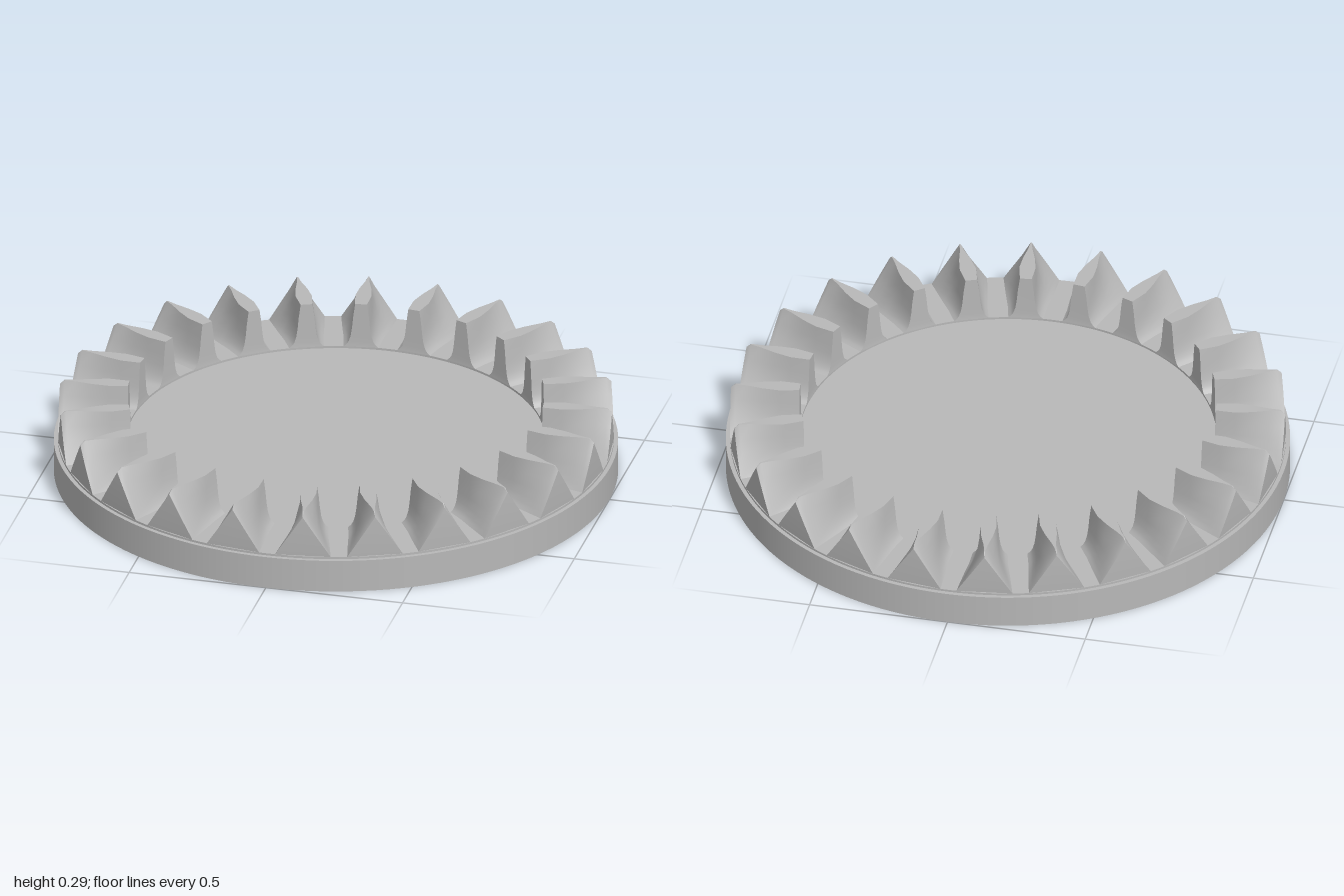
import * as THREE from 'three';
import { mergeGeometries } from 'three/addons/utils/BufferGeometryUtils.js';

const TEETH = 24;
const ROOT = 0.128;
// Height fractions shared by all tooth cross-sections
const LEVELS = [0, 0.05, 0.12, 0.25, 0.45, 0.7, 1];
// Cross-sections from hub to rim: radius, top height, half-width at each level
const SECTIONS = [
  { r: 0.74, top: 0.295, w: [0.062, 0.052, 0.044, 0.037, 0.032, 0.028, 0.021] },
  { r: 0.81, top: 0.295, w: [0.07, 0.061, 0.053, 0.043, 0.036, 0.032, 0.029] },
  { r: 0.87, top: 0.295, w: [0.081, 0.073, 0.065, 0.054, 0.043, 0.033, 0.021] },
  { r: 0.93, top: 0.295, w: [0.091, 0.085, 0.078, 0.066, 0.048, 0.028, 0.007] },
  { r: 0.968, top: 0.295, w: [0.097, 0.092, 0.085, 0.072, 0.053, 0.029, 0.002] },
  { r: 0.985, top: 0.28, w: [0.1, 0.095, 0.088, 0.075, 0.055, 0.03, 0] },
];

// Smooth surface through rows of points
function grid(rows) {
  const n = rows[0].length;
  const index = [];
  for (let i = 0; i < rows.length - 1; i++) {
    for (let j = 0; j < n - 1; j++) {
      const a = i * n + j, b = a + 1, c = a + n, d = c + 1;
      index.push(a, b, c, b, d, c);
    }
  }
  const g = new THREE.BufferGeometry();
  g.setAttribute('position', new THREE.Float32BufferAttribute(rows.flat(2), 3));
  g.setIndex(index);
  g.computeVertexNormals();
  return g;
}

// Point on a section, side +1 or -1, wrapped around the gear axis
function point(s, k, side) {
  const a = side * s.w[k] / s.r;
  const y = ROOT + LEVELS[k] * (s.top - ROOT);
  return [s.r * Math.sin(a), y, s.r * Math.cos(a)];
}

function toothGeometry() {
  const ks = LEVELS.map((_, k) => k);
  const last = ks.length - 1;
  const inner = SECTIONS[0], outer = SECTIONS[SECTIONS.length - 1];
  const land = SECTIONS.map(s => [point(s, last, 1), point(s, last, -1)]);
  return mergeGeometries([
    grid(SECTIONS.map(s => ks.map(k => point(s, k, 1)))),
    grid(SECTIONS.map(s => ks.map(k => point(s, k, -1)).reverse())),
    grid(land.slice(0, -1)),
    grid(land.slice(-2)),
    grid(ks.map(k => [point(outer, k, -1), point(outer, k, 1)])),
    grid(ks.map(k => [point(inner, k, 1), point(inner, k, -1)])),
  ]);
}

export function createModel() {
  const model = new THREE.Group();
  model.name = 'faceGear';
  const metal = new THREE.MeshStandardMaterial({ color: 0xb8b8b8 });
  metal.name = 'grey metal';

  // Solid disc
  const base = new THREE.Mesh(new THREE.CylinderGeometry(1, 1, 0.12, 128), metal);
  base.name = 'baseDisc';
  base.position.y = 0.06;
  model.add(base);

  // Low raised ring that carries the teeth
  const ringShape = new THREE.Shape().absarc(0, 0, 0.985, 0, Math.PI * 2);
  ringShape.holes.push(new THREE.Path().absarc(0, 0, 0.74, 0, Math.PI * 2, true));
  const ringGeometry = new THREE.ExtrudeGeometry(ringShape, { depth: ROOT - 0.118, bevelEnabled: false, curveSegments: 96 });
  ringGeometry.rotateX(-Math.PI / 2);
  const ring = new THREE.Mesh(ringGeometry, metal);
  ring.name = 'rootRing';
  ring.position.y = 0.118;
  model.add(ring);

  // Teeth, with a gap centred on the front
  const teeth = new THREE.Group();
  teeth.name = 'teeth';
  const geometry = toothGeometry();
  for (let i = 0; i < TEETH; i++) {
    const tooth = new THREE.Mesh(geometry, metal);
    tooth.name = 'tooth' + (i + 1);
    tooth.rotation.y = (i + 0.5) * Math.PI * 2 / TEETH;
    teeth.add(tooth);
  }
  model.add(teeth);
  return model;
}
